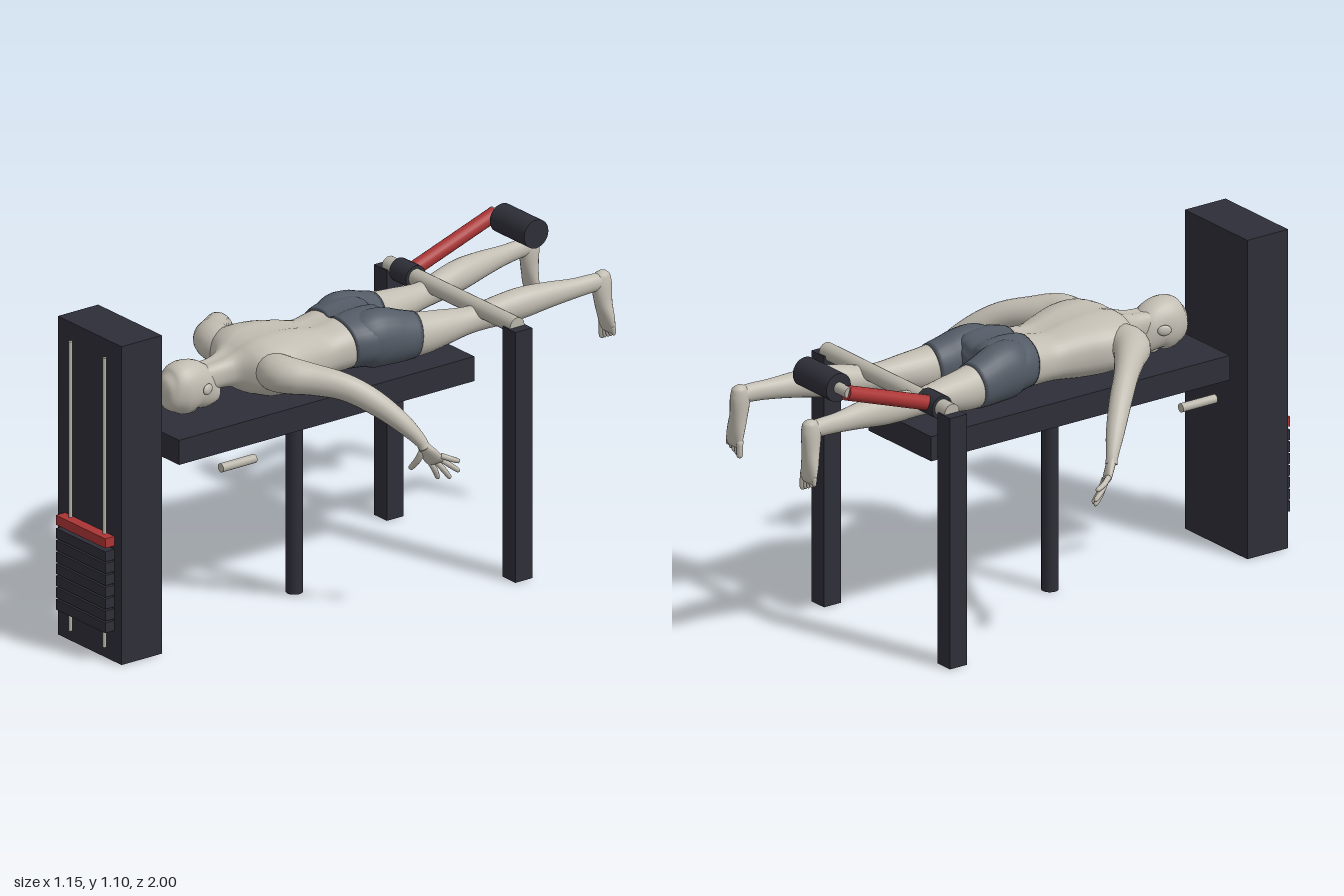
import * as THREE from 'three';

const mat = (name, color, side = THREE.FrontSide) => {
  const m = new THREE.MeshStandardMaterial({ color, side });
  m.name = name;
  return m;
};

export function createModel() {
  const dark = mat('dark frame', 0x2e2e38);
  const red = mat('red paint', 0xab3434);
  const metal = mat('pale metal', 0xb9b5aa);
  const skin = mat('skin', 0xc2bdb2);
  const cloth = mat('shorts cloth', 0x535b66);
  const root = new THREE.Group();
  root.name = 'legCurlBench';

  const add = (name, geo, material, x = 0, y = 0, z = 0) => {
    const m = new THREE.Mesh(geo, material);
    m.name = name;
    m.position.set(x, y, z);
    root.add(m);
    return m;
  };
  // box from min / max corners
  const box = (name, material, x0, x1, y0, y1, z0, z1) =>
    add(name, new THREE.BoxGeometry(x1 - x0, y1 - y0, z1 - z0), material, (x0 + x1) / 2, (y0 + y1) / 2, (z0 + z1) / 2);
  // cylinder between two points
  const rod = (name, material, a, b, r, sides = 20) => {
    const A = new THREE.Vector3(...a), B = new THREE.Vector3(...b), d = B.clone().sub(A);
    const m = add(name, new THREE.CylinderGeometry(r, r, d.length(), sides), material);
    m.position.copy(A).add(B).multiplyScalar(0.5);
    m.quaternion.setFromUnitVectors(new THREE.Vector3(0, 1, 0), d.normalize());
    return m;
  };

  // smooth skin over elliptical sections [x, y, z, halfWidth, halfHeight]
  const loft = (name, material, rows, { up = [0, 1, 0], sides = 20, steps = 4, power = 1, deform } = {}) => {
    const path = new THREE.CatmullRomCurve3(rows.map(r => new THREE.Vector3(r[0], r[1], r[2])), false, 'centripetal');
    const size = new THREE.CatmullRomCurve3(rows.map((r, i) => new THREE.Vector3(r[3], r[4], i * 0.05)), false, 'centripetal');
    const n = (rows.length - 1) * steps, pos = [], idx = [], U = new THREE.Vector3(...up);
    const rnd = v => Math.sign(v) * Math.abs(v) ** power;
    for (let i = 0; i <= n; i++) {
      const c = path.getPoint(i / n), s = size.getPoint(i / n), t = path.getTangent(i / n);
      const side = U.clone().cross(t).normalize(), top = t.clone().cross(side);
      for (let j = 0; j < sides; j++) {
        const a = j / sides * Math.PI * 2;
        const p = c.clone().addScaledVector(side, rnd(Math.cos(a)) * s.x).addScaledVector(top, rnd(Math.sin(a)) * s.y);
        if (deform) deform(p, c);
        pos.push(p.x, p.y, p.z);
      }
    }
    const at = (i, j) => i * sides + j % sides, last = (n + 1) * sides;
    pos.push(...rows[0].slice(0, 3), ...rows[rows.length - 1].slice(0, 3));
    for (let j = 0; j < sides; j++) {
      for (let i = 0; i < n; i++)
        idx.push(at(i, j), at(i, j + 1), at(i + 1, j), at(i, j + 1), at(i + 1, j + 1), at(i + 1, j));
      idx.push(last, at(0, j + 1), at(0, j), last + 1, at(n, j), at(n, j + 1));
    }
    const g = new THREE.BufferGeometry();
    g.setAttribute('position', new THREE.Float32BufferAttribute(pos, 3));
    g.setIndex(idx);
    g.computeVertexNormals();
    return add(name, g, material);
  };

  // weight tower
  box('tower', dark, -0.168, 0.168, 0, 1.1, 0.8, 0.963);
  for (const x of [-0.09, 0.09]) rod('guideRod', metal, [x, 0.04, 0.972], [x, 1.04, 0.972], 0.007, 12);
  for (let i = 0; i < 7; i++) box('weightPlate', dark, -0.13, 0.13, 0.107 + i * 0.041, 0.142 + i * 0.041, 0.961, 1);
  box('topWeight', red, -0.13, 0.13, 0.4, 0.433, 0.961, 1);

  // bench, post and hand grips
  box('benchPad', dark, -0.168, 0.168, 0.635, 0.72, -0.465, 0.73);
  rod('benchPost', dark, [0, 0, 0.135], [0, 0.64, 0.135], 0.028);
  for (const s of [-1, 1]) {
    rod('handGrip', metal, [s * 0.24, 0.62, 0.48], [s * 0.24, 0.62, 0.617], 0.015);
    box('sidePost', dark, s * 0.339 - 0.034, s * 0.339 + 0.034, 0, 0.865, -0.542, -0.474);
  }

  // pivot bar, curl lever and roller
  rod('pivotBar', metal, [-0.338, 0.868, -0.508], [0.338, 0.868, -0.508], 0.029);
  rod('pivotCollar', dark, [-0.285, 0.868, -0.508], [-0.197, 0.868, -0.508], 0.04);
  rod('leverArm', red, [-0.241, 0.868, -0.508], [-0.241, 0.988, -0.86], 0.025);
  rod('rollerAxle', metal, [-0.255, 0.99, -0.856], [-0.18, 0.99, -0.856], 0.019);
  rod('roller', dark, [-0.196, 0.99, -0.856], [-0.015, 0.99, -0.856], 0.049, 28);

  // torso and neck, with a shallow spine groove
  const groove = depth => (p, c) => { if (p.y > c.y) p.y -= depth * Math.exp(-((p.x / 0.022) ** 2)); };
  loft('torso', skin, [
    [0, 0.83, 0.56, 0.048, 0.05], [0, 0.835, 0.46, 0.05, 0.05], [0, 0.838, 0.41, 0.07, 0.058],
    [0, 0.838, 0.37, 0.145, 0.08], [0, 0.84, 0.32, 0.185, 0.097], [0, 0.838, 0.25, 0.18, 0.102],
    [0, 0.833, 0.17, 0.155, 0.097], [0, 0.829, 0.08, 0.132, 0.083], [0, 0.835, 0, 0.138, 0.087], [0, 0.84, -0.05, 0.14, 0.085],
  ], { sides: 40, power: 0.82, deform: groove(0.009) });

  // shorts: seat of the shorts
  loft('shortsSeat', cloth, [
    [0, 0.838, -0.012, 0.144, 0.092], [0, 0.842, -0.05, 0.158, 0.097], [0, 0.843, -0.1, 0.168, 0.099],
    [0, 0.842, -0.15, 0.165, 0.094], [0, 0.84, -0.18, 0.13, 0.075], [0, 0.84, -0.195, 0.08, 0.045],
  ], { sides: 40, power: 0.85, deform: groove(0.016) });

  // head and nose
  loft('head', skin, [
    [0, 0.775, 0.448, 0.012, 0.012], [0, 0.775, 0.46, 0.034, 0.034], [0, 0.785, 0.5, 0.054, 0.056],
    [0, 0.812, 0.55, 0.067, 0.085], [0, 0.818, 0.6, 0.071, 0.088], [0, 0.818, 0.64, 0.057, 0.07],
    [0, 0.82, 0.66, 0.035, 0.043], [0, 0.82, 0.668, 0.008, 0.01],
  ], { sides: 28, power: 0.92 });
  add('nose', new THREE.SphereGeometry(1, 12, 8), skin, 0, 0.738, 0.55).scale.set(0.012, 0.018, 0.022);

  // limbs, mirrored left and right
  for (const s of [1, -1]) {
    const mir = rows => rows.map(r => [s * r[0], ...r.slice(1)]);

    const ear = add('ear', new THREE.SphereGeometry(1, 14, 10), skin, s * 0.072, 0.82, 0.54);
    ear.scale.set(0.009, 0.018, 0.024);
    ear.rotation.y = s * 0.35;

    // arm hanging outward from the shoulder
    loft('arm', skin, mir([
      [0.1, 0.85, 0.325, 0.05, 0.055], [0.15, 0.852, 0.325, 0.064, 0.062], [0.2, 0.853, 0.312, 0.064, 0.06],
      [0.26, 0.845, 0.26, 0.05, 0.052], [0.335, 0.826, 0.19, 0.04, 0.045], [0.4, 0.778, 0.12, 0.037, 0.04],
      [0.465, 0.705, 0.05, 0.03, 0.031], [0.505, 0.645, 0.008, 0.02, 0.02], [0.512, 0.625, 0, 0.02, 0.018],
    ]));

    // open hand
    const handUp = [s * 0.4, -0.315, 0.66];
    loft('palm', skin, mir([
      [0.504, 0.65, 0.01, 0.018, 0.015], [0.51, 0.628, 0, 0.023, 0.015], [0.518, 0.603, -0.015, 0.033, 0.014],
      [0.525, 0.582, -0.028, 0.035, 0.012], [0.528, 0.571, -0.035, 0.028, 0.006],
    ]), { up: handUp, sides: 16 });
    const finger = (name, a, b, r) => {
      const mid = a.map((v, i) => (v + b[i]) / 2 + [0.006, 0, 0][i]);
      const end = a.map((v, i) => v + (b[i] - v) * 0.93);
      loft(name, skin, mir([[...a, r, r], [...mid, r, r], [...end, r * 0.8, r * 0.8], [...b, r * 0.2, r * 0.2]]),
        { up: handUp, sides: 10, steps: 3 });
    };
    [[0.5, 0.5, -0.065], [0.538, 0.508, -0.085], [0.562, 0.535, -0.103], [0.567, 0.572, -0.1]].forEach((tip, i) =>
      finger('finger', [0.504 + i * 0.015, 0.58 + i * 0.007, -0.02 - i * 0.006], tip, 0.0095));
    finger('thumb', [0.502, 0.615, 0], [0.453, 0.537, 0.015], 0.011);

    // leg with thigh, knee and calf
    loft('shortsLeg', cloth, mir([
      [0.08, 0.842, -0.05, 0.065, 0.08], [0.088, 0.845, -0.1, 0.08, 0.097], [0.095, 0.842, -0.15, 0.079, 0.096],
      [0.102, 0.834, -0.2, 0.075, 0.088], [0.109, 0.827, -0.26, 0.069, 0.078],
    ]), { sides: 28 });
    loft('leg', skin, mir([
      [0.105, 0.832, -0.22, 0.068, 0.077], [0.112, 0.826, -0.28, 0.064, 0.072], [0.12, 0.828, -0.36, 0.056, 0.061],
      [0.128, 0.832, -0.45, 0.044, 0.047], [0.135, 0.836, -0.51, 0.04, 0.045], [0.146, 0.845, -0.58, 0.045, 0.05],
      [0.158, 0.855, -0.66, 0.046, 0.052], [0.17, 0.862, -0.75, 0.039, 0.044], [0.183, 0.865, -0.85, 0.028, 0.034],
      [0.189, 0.868, -0.92, 0.025, 0.031], [0.19, 0.868, -0.965, 0.024, 0.028],
    ]), { sides: 24 });

    // foot with the toes pointing down
    loft('foot', skin, mir([
      [0.19, 0.903, -0.968, 0.008, 0.01], [0.19, 0.893, -0.967, 0.022, 0.025], [0.191, 0.86, -0.963, 0.028, 0.035],
      [0.194, 0.8, -0.966, 0.031, 0.029], [0.199, 0.745, -0.974, 0.038, 0.021], [0.2, 0.71, -0.979, 0.039, 0.014],
      [0.2, 0.695, -0.98, 0.033, 0.008],
    ]), { up: [0, 0, 1], sides: 20 });
    for (let i = 0; i < 5; i++) {
      const x = 0.17 + i * 0.0155, r = i ? 0.0078 : 0.011, tip = 0.66 + i * 0.007;
      loft('toe', skin, mir([[x, 0.72, -0.978, r, r], [x, tip + 0.015, -0.98, r, r],
        [x, tip + 0.005, -0.98, r * 0.8, r * 0.8], [x, tip, -0.98, r * 0.2, r * 0.2]]), { up: [0, 0, 1], sides: 10, steps: 3 });
    }
  }
  return root;
}
